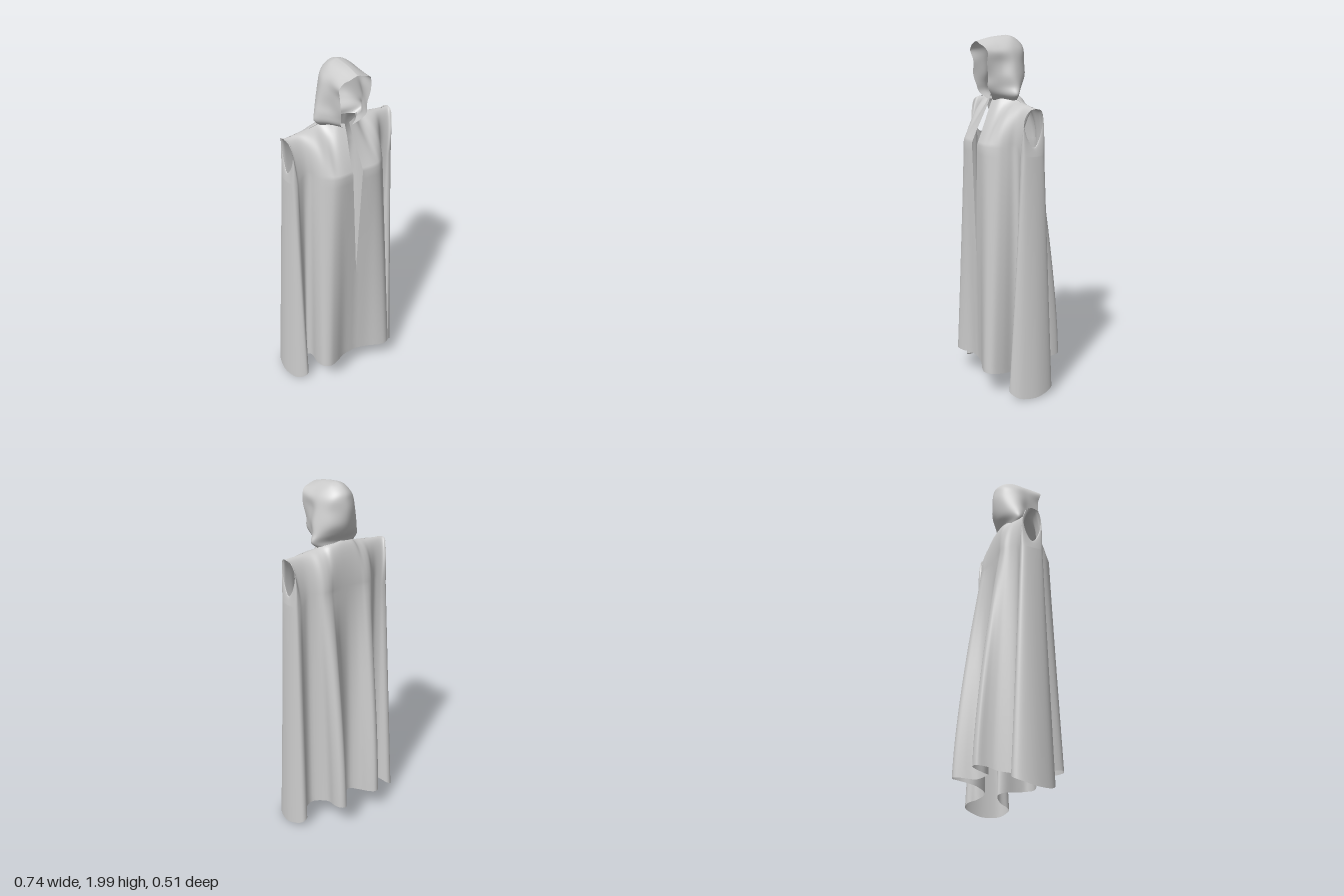
import * as THREE from 'three';
import { mergeVertices } from 'three/addons/utils/BufferGeometryUtils.js';

const V = (x, y, z) => new THREE.Vector3(x, y, z);
const lerp = THREE.MathUtils.lerp;
const smooth = THREE.MathUtils.smoothstep;

// Columns of one half of the cloak, from front centre round the side to back centre.
const HEM = [
  [0, .16, .197], [.08, .155, .215], [.15, .15, .243], [.2, .15, .25], [.235, .15, .222], [.238, .14, .16],
  [.225, .13, .09], [.24, .11, .05], [.268, .08, .08], [.276, .06, .125], [.302, .047, .146], [.345, .018, .105],
  [.367, .014, .02], [.362, .03, -.05], [.34, .05, -.1], [.305, .07, -.1], [.278, .09, -.05], [.215, .11, -.035],
  [.163, .13, -.11], [.176, .15, -.19], [.168, .155, -.243], [.135, .155, -.254], [.107, .15, -.215],
  [.07, .14, -.145], [0, .15, -.11],
];
const CHEST = [
  [0, .208], [.07, .214], [.12, .21], [.16, .195], [.195, .16], [.213, .12],
  [.225, .085], [.25, .072], [.283, .075], [.3, .08], [.318, .073], [.325, .05],
  [.328, .01], [.325, -.03], [.315, -.052], [.295, -.053], [.27, -.048], [.235, -.047],
  [.195, -.07], [.17, -.095], [.145, -.103], [.12, -.102], [.095, -.096], [.05, -.09], [0, -.088],
];
// Top edge: neckline, shoulder ridge, round the armhole, ridge again, back neckline.
const TOP = [
  [-.005, 1.67, .1], [.05, 1.675, .08], [.085, 1.67, .045], [.12, 1.662, .015], [.16, 1.654, .012], [.21, 1.648, .012],
  [.26, 1.643, .012], [.3, 1.638, .012], [.333, 1.637, .012], [.327, 1.622, .05], [.315, 1.56, .07], [.314, 1.478, .05],
  [.318, 1.43, .012], [.314, 1.478, -.022], [.315, 1.56, -.041], [.327, 1.622, -.026], [.333, 1.637, .012],
  [.26, 1.643, .012], [.2, 1.649, .012], [.16, 1.655, .012], [.13, 1.66, .01], [.105, 1.667, .003],
  [.08, 1.675, -.02], [.04, 1.68, -.03], [0, 1.685, -.03],
];
const LAST = HEM.length - 1;

// Open lofted sheet: rows of points, each resampled to n + 1 points by a smooth curve.
function loft(name, rows, n) {
  const pos = [], index = [];
  rows.forEach((row, r) => {
    const curve = new THREE.CatmullRomCurve3(row, false, 'catmullrom', 0.5);
    for (let i = 0; i <= n; i++) {
      const p = curve.getPoint(i / n);
      pos.push(p.x, p.y, p.z);
      if (r && i < n) {
        const a = (r - 1) * (n + 1) + i, b = a + n + 1;
        index.push(a, a + 1, b, a + 1, b + 1, b);
      }
    }
  });
  let geo = new THREE.BufferGeometry();
  geo.setAttribute('position', new THREE.Float32BufferAttribute(pos, 3));
  geo.setIndex(index);
  geo = mergeVertices(geo, 1e-5); // weld seams that meet
  geo.computeVertexNormals();
  const mesh = new THREE.Mesh(geo, new THREE.MeshStandardMaterial({
    color: 0xcccccc, roughness: 0.85, side: THREE.DoubleSide,
  }));
  mesh.name = name;
  return mesh;
}

// Point of cloak column i on one side; s runs 0 (hem) to 1 (chest) to 2 (top edge).
function cloakPoint(i, side, s) {
  let [hx, hy, hz] = HEM[i];
  if (side < 0) { // slightly different fall of the folds on the other side
    const back = smooth(-hz, .09, .2) * (1 - smooth(hx, .2, .26));
    hx -= .035 * back * smooth(hx, 0, .06);
    hz += lerp(-.016, .014, back) * smooth(hx, 0, .1);
  }
  const [cx, cz] = CHEST[i], [tx, ty, tz] = TOP[i];
  const cy = i > 7 && i < 17 ? 1.38 : 1.42;
  let p;
  if (s <= 1) {
    // the back folds swell outwards on the way down
    const f = Math.pow(s, 1 + .45 * smooth(i, 16, 19));
    p = V(lerp(hx, cx, f), lerp(hy, cy, s), lerp(hz, cz, f));
  } else {
    // straight slope at the chest, rounded over the shoulders and back
    const t = s - 1, a = t * Math.PI / 2, round = smooth(i, 1, 5);
    p = V(lerp(cx, tx, t), lerp(cy, ty, lerp(t, Math.sin(a), round)),
      lerp(cz, tz, lerp(t, 1 - Math.cos(a), round)));
  }
  // front slit, widest at the chest
  const gap = THREE.MathUtils.clamp((p.y - .78) / .65, 0, 1) - .4 * smooth(p.y, 1.45, 1.65);
  p.x += .032 * Math.max(0, 1 - i / 3) * gap;
  p.x *= side;
  return p;
}

function createCloak() {
  const rows = [];
  for (let r = 0; r <= 42; r++) {
    const s = r <= 26 ? r / 26 : 1 + (r - 26) / 16;
    const row = [];
    for (let i = 0; i <= LAST; i++) row.push(cloakPoint(i, 1, s));
    for (let i = LAST - 1; i >= 0; i--) row.push(cloakPoint(i, -1, s));
    rows.push(row);
  }
  return loft('cloakBody', rows, LAST * 2 * 4);
}

// Hood slices: height, half width and z of the opening edge, half width at the side, z of the back.
const HOOD = [
  [1.655, .03, .105, .115, -.025], [1.69, .066, .14, .152, -.025], [1.735, .078, .16, .145, -.062],
  [1.79, .084, .166, .132, -.088], [1.86, .092, .17, .117, -.088], [1.915, .1, .175, .104, -.09],
  [1.95, .08, .184, .083, -.075], [1.98, .045, .19, .054, -.045], [1.994, .02, .191, .028, -.018], [2, 0, .192, 0, .01],
];

function hoodSlice([y, fw, fz, sw, bz]) {
  const half = [
    [fw, fz], [lerp(fw, sw, .4), lerp(fz, .02, .5)], [sw, .02], [sw * .66, lerp(.02, bz, .68)], [0, bz],
  ];
  const full = [...half, ...half.slice(0, -1).reverse().map(([x, z]) => [-x, z])];
  return full.map(([x, z]) => {
    // soft wrinkles and a drooping brim
    const k = .004 * Math.sin(y * 48 + z * 30 + x * 14) * (1 - smooth(y, 1.93, 1.99));
    const droop = .028 * smooth(z, .06, .19) * smooth(y, 1.93, 2);
    return V(x * (1 + k * 6), y - droop, z + k);
  });
}

function createHood() {
  const slices = HOOD.map(hoodSlice);
  const columns = slices[0].map((_, i) =>
    new THREE.CatmullRomCurve3(slices.map((s) => s[i]), false, 'catmullrom', 0.5));
  const rows = [];
  for (let r = 0; r <= 45; r++) rows.push(columns.map((c) => c.getPoint(r / 45)));
  return loft('hood', rows, 64);
}

export function createModel() {
  const group = new THREE.Group();
  group.name = 'hoodedCloak';
  group.add(createCloak(), createHood());
  return group;
}
